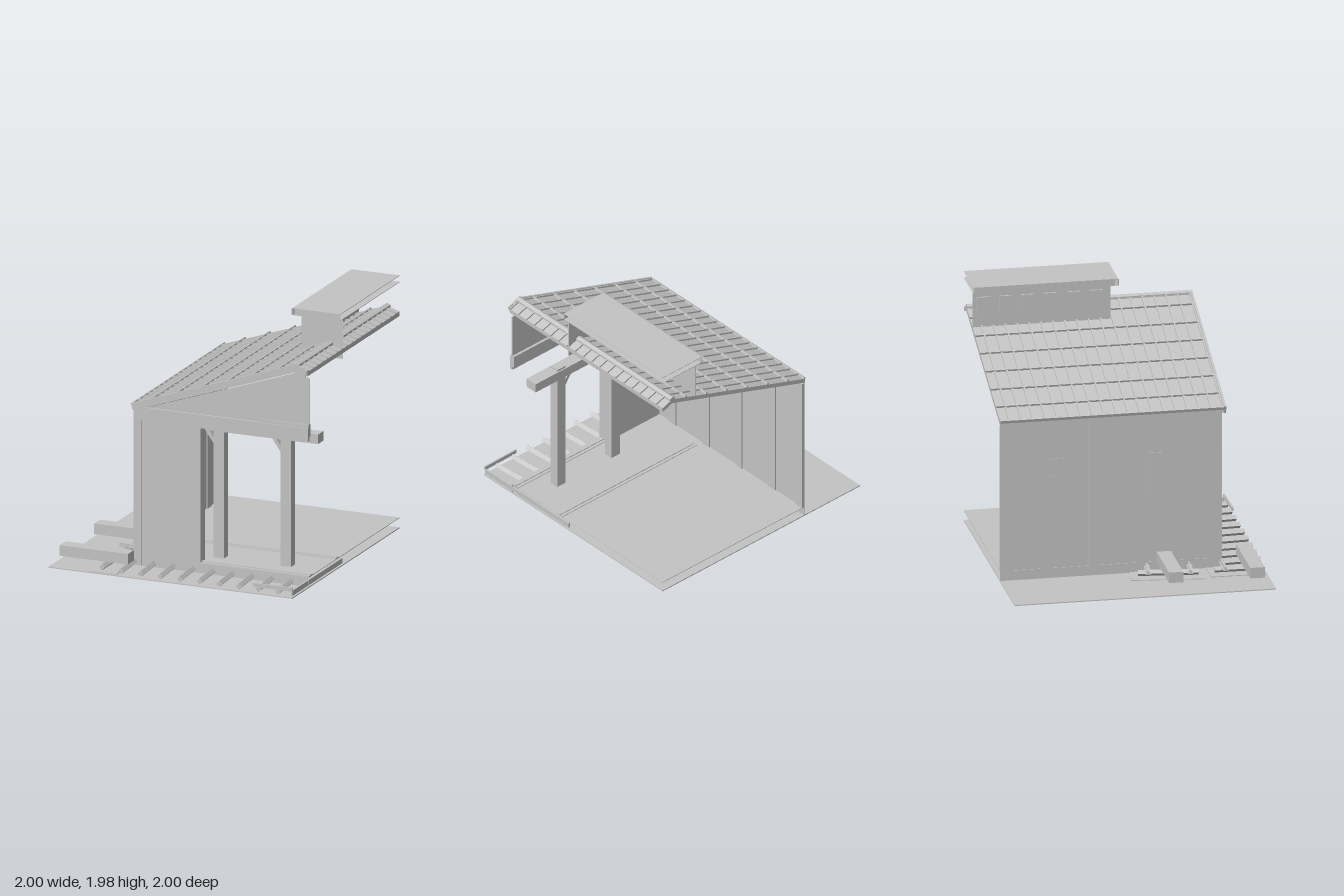
import * as THREE from 'three';

export function createModel() {
  const model = new THREE.Group();
  const grey = new THREE.MeshStandardMaterial({ color: 0xc4c4c4, side: THREE.DoubleSide, flatShading: true });
  grey.name = 'plain grey';

  const add = (name, geometry, parent = model) => {
    const mesh = new THREE.Mesh(geometry, grey);
    mesh.name = name;
    parent.add(mesh);
    return mesh;
  };
  // Box given by its lower and upper limits on each axis
  const box = (name, x0, x1, y0, y1, z0, z1, parent = model) => {
    const mesh = add(name, new THREE.BoxGeometry(x1 - x0, y1 - y0, z1 - z0), parent);
    mesh.position.set((x0 + x1) / 2, (y0 + y1) / 2, (z0 + z1) / 2);
    return mesh;
  };
  // Outline in x and y, extruded from z0 to z1
  const profile = (name, points, z0, z1) => {
    const shape = new THREE.Shape(points.map(p => new THREE.Vector2(...p)));
    const mesh = add(name, new THREE.ExtrudeGeometry(shape, { depth: z1 - z0, bevelEnabled: false }));
    mesh.position.z = z0;
    return mesh;
  };
  const group = (name, x, y, z) => {
    const g = new THREE.Group();
    g.name = name;
    g.position.set(x, y, z);
    model.add(g);
    return g;
  };

  // Ground and hollow platform, open on the two cut sides
  box('ground', -1, 1, 0, 0.008, -1, 1);
  box('floor', -0.435, 1, 0.08, 0.085, -1, 0.69);
  box('platformFront', -0.435, 1, 0.008, 0.085, 0.685, 0.69);
  box('platformSide', -0.435, -0.43, 0.008, 0.085, -1, 0.69);
  for (const z of [0.65, 0.155]) {
    box('floorTrack', -0.36, 1, 0.085, 0.09, z - 0.035, z + 0.035);
    box('floorTrackRib', -0.36, 1, 0.09, 0.096, z - 0.01, z + 0.01);
  }

  // Side wall with battens and two shutters
  box('sideWall', -0.43, -0.42, 0.085, 1.235, -1, 0.69);
  for (const z of [0.45, 0.075, -0.29, -0.66, -0.965])
    box('wallBatten', -0.437, -0.41, 0.085, 1.235, z - 0.037, z + 0.037);
  for (const z of [-0.575, 0.18]) {
    box('shutter', -0.436, -0.43, 0.6, 0.95, z - 0.06, z + 0.06);
    box('shutterHandle', -0.442, -0.436, 0.7, 0.82, z - 0.05, z - 0.035);
  }

  // Front wall, corner post, gable and lintel
  box('cornerPost', -0.437, -0.37, 0.01, 1.235, 0.605, 0.697);
  box('frontWall', -0.37, 0.11, 0.085, 1.2, 0.605, 0.69);
  profile('gable', [[-0.4, 1.15], [1, 1.15], [1, 1.64], [0.9, 1.675], [-0.37, 1.235]], 0.68, 0.69);
  box('lintel', -0.37, 1, 1.15, 1.255, 0.69, 0.708);
  box('doorRail', 0.59, 1, 1.18, 1.28, 0.66, 0.7);

  // Inner beam on posts with braces
  box('innerBeam', 0.11, 1, 1.08, 1.155, 0.42, 0.52);
  for (const x of [0.18, 0.73]) {
    box('post', x - 0.042, x + 0.042, 0.085, 1.17, 0.43, 0.505);
    profile('brace', [[x - 0.042, 0.96], [x - 0.042, 1.005], [x - 0.09, 1.08], [x - 0.125, 1.08]], 0.445, 0.49);
  }

  // Roof slab
  profile('roof', [[-0.44, 1.235], [0.9, 1.7], [1, 1.665], [1, 1.7], [0.9, 1.735], [-0.44, 1.27]], -1, 0.715);
  const angle = Math.atan2(0.465, 1.34);
  const slopes = [
    { name: 'mainSlope', x: -0.44, y: 1.27, turn: angle, length: 1.418 },
    { name: 'rearSlope', x: 0.9, y: 1.735, turn: -angle, length: 0.1058 },
  ];
  for (const s of slopes) {
    const g = group(s.name, s.x, s.y, 0);
    g.rotation.z = s.turn;
    for (let i = 0; i < 19; i++) {
      const z = -0.93 + i * 0.0907;
      box('roofRib', 0, s.length, 0, 0.012, z - 0.006, z + 0.006, g);
    }
    box('bargeBoard', 0, s.length, -0.045, 0.014, 0.712, 0.728, g);
  }
  // Course laps across the main slope, and the ridge cap
  const main = model.getObjectByName('mainSlope');
  for (const x of [-0.267, -0.064, 0.144, 0.353, 0.556, 0.765]) {
    const u = (x + 0.44) / Math.cos(angle);
    box('courseLap', u - 0.009, u + 0.009, 0, 0.015, -1, 0.712, main);
  }
  box('eaveStrip', -0.004, 0.012, -0.03, 0.012, -1, 0.712, main);
  profile('ridgeCap', [[0.875, 1.726], [0.9, 1.735], [0.925, 1.726], [0.925, 1.744], [0.9, 1.756], [0.875, 1.744]], -1, 0.728);

  // Raised ridge vent with louvres under a flat hollow cover
  box('ventSide', 0.66, 0.667, 1.62, 1.93, -1, 0.055);
  box('ventFront', 0.66, 1, 1.62, 1.93, 0.05, 0.057);
  for (let i = 0; i < 6; i++) {
    const z = -0.92 + i * 0.172;
    box('louvre', 0.645, 0.66, 1.74, 1.89, z - 0.05, z + 0.05);
  }
  const cover = new THREE.Shape();
  cover.moveTo(1, -0.105);
  cover.lineTo(0.635, -0.105);
  cover.quadraticCurveTo(0.605, -0.105, 0.605, -0.075);
  cover.lineTo(0.605, 1);
  cover.lineTo(1, 1);
  for (const y of [1.93, 1.98]) {
    const plate = add('ventCover', new THREE.ExtrudeGeometry(cover, { depth: 0.004, bevelEnabled: false, curveSegments: 5 }));
    plate.rotation.x = -Math.PI / 2;
    plate.position.y = y;
  }
  box('coverFront', 0.63, 1, 1.93, 1.983, 0.1, 0.105);
  box('coverSide', 0.605, 0.61, 1.93, 1.983, -1, 0.08);
  const corner = box('coverCorner', -0.018, 0.018, 1.93, 1.983, -0.002, 0.002);
  corner.position.set(0.616, 1.9565, 0.094);
  corner.rotation.y = Math.PI / 4;

  // Square sleeper set on edge, lying along z
  const sleeper = (x, z, length, turn, parent = model) => {
    const holder = new THREE.Group();
    holder.name = 'sleeper';
    holder.position.set(x, 0.042, z);
    holder.rotation.y = turn;
    parent.add(holder);
    add('sleeperBar', new THREE.BoxGeometry(0.034, 0.034, length), holder).rotation.z = Math.PI / 4;
  };
  for (let i = 0; i < 9; i++) sleeper(-0.415 + i * 0.161, 0.853, 0.285, 0.06);

  // Rail ends at the cut edges
  box('frontRail', 0.68, 1, 0.055, 0.085, 0.985, 0.998).rotation.y = 0.015;
  box('edgeRail', 0.985, 0.998, 0.02, 0.06, 0.055, 0.99);

  // Short track panels beside the wall
  const panels = [
    { x: -0.555, z: 0.26, turn: -0.12, half: 0.285, rails: [-0.155, 0.165] },
    { x: -0.56, z: 0.78, turn: -0.01, half: 0.212, rails: [-0.095] },
  ];
  for (const p of panels) {
    const g = group('trackPanel', p.x, 0, p.z);
    g.rotation.y = p.turn;
    box('trackBed', -0.1, 0.115, 0.008, 0.014, -p.half, p.half, g);
    sleeper(-0.02, 0, p.half * 1.6, 0, g);
    for (const z of p.rails) {
      box('railFoot', -0.095, 0.11, 0.05, 0.06, z - 0.02, z + 0.02, g);
      box('railHead', -0.095, 0.11, 0.06, 0.078, z - 0.008, z + 0.008, g);
    }
  }

  // Loose timbers
  box('timber', -0.94, -0.38, 0.08, 0.163, 0.815, 0.925);
  box('timber', -0.93, -0.437, 0.08, 0.163, 0.195, 0.305);

  return model;
}
